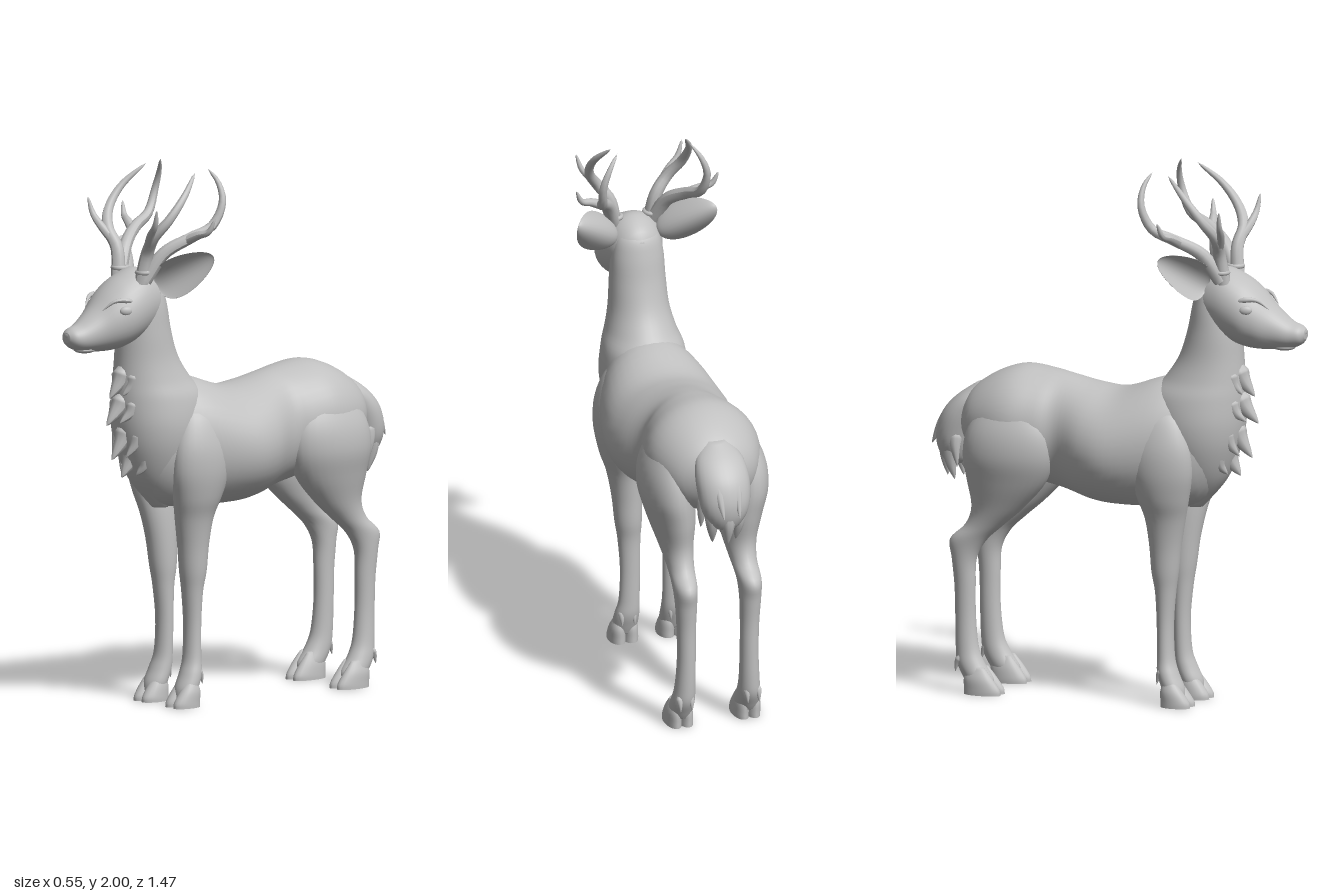
import * as THREE from 'three';

const coat = new THREE.MeshStandardMaterial({ color: 0xc0c0c0 });
coat.name = 'plain grey';

const V = (p, s = 1) => new THREE.Vector3(p[0] * s, p[1], p[2]);

// Catmull-Rom subdivision of rows of numbers
function refine(rows, steps) {
  const out = [];
  const at = (i) => rows[Math.min(Math.max(i, 0), rows.length - 1)];
  for (let i = 0; i < rows.length - 1; i++) {
    for (let k = 0; k < steps; k++) {
      const t = k / steps;
      out.push(rows[i].map((_, c) => {
        const [a, b, d, e] = [at(i - 1)[c], at(i)[c], at(i + 1)[c], at(i + 2)[c]];
        return b + 0.5 * t * (d - a + t * (2 * a - 5 * b + 4 * d - e + t * (3 * (b - d) + e - a)));
      }));
    }
  }
  out.push(rows[rows.length - 1]);
  return out;
}

// Closed skin over oval rings. A row is [position on axis, a0, a1, x0, x1], where a is z
// for axis 'y' and y for axis 'z'; a row of four gives a half width about x = 0.
function loft(axis, rows, side = 1, steps = 5, n = 28) {
  const rings = refine(rows.map((r) => (r.length === 4 ? [r[0], r[1], r[2], -r[3], r[3]] : r)), steps);
  const pos = [], idx = [];
  const put = (p, a, x) => pos.push(x * side, ...(axis === 'y' ? [p, a] : [a, p]));
  for (const [p, a0, a1, x0, x1] of rings) {
    for (let j = 0; j < n; j++) {
      const t = (j / n) * Math.PI * 2;
      put(p, (a0 + a1) / 2 + ((a1 - a0) / 2) * Math.sin(t), (x0 + x1) / 2 + ((x1 - x0) / 2) * Math.cos(t));
    }
  }
  const last = rings.length - 1;
  for (const [p, a0, a1, x0, x1] of [rings[0], rings[last]]) put(p, (a0 + a1) / 2, (x0 + x1) / 2);
  const c0 = rings.length * n;
  for (let j = 0; j < n; j++) {
    const k = (j + 1) % n;
    for (let i = 0; i < last; i++) {
      const [a, b, c, d] = [i * n + j, i * n + k, i * n + n + k, i * n + n + j];
      idx.push(a, b, c, a, c, d);
    }
    idx.push(c0, k, j, c0 + 1, last * n + j, last * n + k);
  }
  // turn the faces outward, judged by the enclosed volume
  const P = (i) => new THREE.Vector3().fromArray(pos, i * 3);
  let volume = 0;
  for (let i = 0; i < idx.length; i += 3) volume += P(idx[i]).dot(P(idx[i + 1]).cross(P(idx[i + 2])));
  if (volume < 0) idx.reverse();
  const g = new THREE.BufferGeometry();
  g.setAttribute('position', new THREE.Float32BufferAttribute(pos, 3));
  g.setIndex(idx);
  g.computeVertexNormals();
  return g;
}

// Thickness along a spike: horns are thick at the root, tufts swell and then narrow
const horn = (t) => Math.sqrt(1 - t);
const tuft = (t) => Math.min(1, 0.05 + 2.5 * t) * Math.pow(1 - t, 0.75);

function spike(points, radius, side, profile) {
  const segs = 24;
  const curve = new THREE.CatmullRomCurve3(points.map((p) => V(p, side)));
  const g = new THREE.TubeGeometry(curve, segs, radius, 10);
  const pos = g.attributes.position, v = new THREE.Vector3();
  for (let i = 0; i < pos.count; i++) {
    const t = Math.floor(i / 11) / segs, c = curve.getPointAt(t);
    v.fromBufferAttribute(pos, i).sub(c).multiplyScalar(profile(t)).add(c);
    pos.setXYZ(i, v.x, v.y, v.z);
  }
  g.computeVertexNormals();
  return g;
}

// Cupped leaf standing on its root, pointed at the tip
function earGeometry(root, tip, side) {
  const g = new THREE.SphereGeometry(1, 28, 24);
  const pos = g.attributes.position;
  const a = V(root, side), b = V(tip, side), len = a.distanceTo(b);
  for (let i = 0; i < pos.count; i++) {
    const x = pos.getX(i), y = pos.getY(i), z = pos.getZ(i), t = (y + 1) / 2;
    const thick = z > 0 ? -0.01 * z : 0.024 * z;
    pos.setXYZ(i, x * 0.074 * (1.15 - 0.4 * t), t * len, 0.05 * x * x * (1.15 - 0.5 * t) + thick - 0.01);
  }
  const up = b.clone().sub(a).normalize();
  const right = up.clone().cross(new THREE.Vector3(0.75 * side, 0, 1)).normalize();
  g.applyMatrix4(new THREE.Matrix4().makeBasis(right, up, right.clone().cross(up)).setPosition(a));
  g.computeVertexNormals();
  return g;
}

export function createModel() {
  const model = new THREE.Group();
  model.name = 'deer';
  const add = (name, geometry) => {
    const m = new THREE.Mesh(geometry, coat);
    m.name = name;
    model.add(m);
    return m;
  };
  const blob = (name, p, s, side = 1) => {
    const m = add(name, new THREE.SphereGeometry(1, 18, 12));
    m.position.copy(V(p, side));
    m.scale.set(...s);
    return m;
  };

  // Trunk, neck and head
  add('body', loft('z', [
    [0.47, 0.96, 1.1, 0.035], [0.42, 0.855, 1.17, 0.092], [0.33, 0.75, 1.2, 0.152], [0.2, 0.73, 1.217, 0.205],
    [0.03, 0.725, 1.165, 0.242], [-0.08, 0.735, 1.17, 0.228], [-0.19, 0.765, 1.195, 0.182],
    [-0.27, 0.785, 1.21, 0.2], [-0.37, 0.81, 1.22, 0.216], [-0.46, 0.83, 1.195, 0.2], [-0.55, 0.87, 1.14, 0.15],
    [-0.61, 0.95, 1.07, 0.06],
  ], 1, 5, 40));
  add('neck', loft('y', [
    [0.735, 0.27, 0.33, 0.03], [0.84, 0.2, 0.42, 0.1], [0.95, 0.16, 0.468, 0.145], [1.05, 0.13, 0.49, 0.162],
    [1.15, 0.13, 0.495, 0.152], [1.22, 0.19, 0.492, 0.129], [1.3, 0.243, 0.486, 0.112], [1.4, 0.277, 0.478, 0.105],
    [1.5, 0.298, 0.46, 0.098], [1.57, 0.32, 0.44, 0.08], [1.615, 0.365, 0.42, 0.035],
  ], 1, 5, 36));
  add('head', loft('z', [
    [0.315, 1.5, 1.56, 0.03], [0.345, 1.43, 1.605, 0.08], [0.42, 1.38, 1.64, 0.112], [0.5, 1.35, 1.61, 0.121],
    [0.56, 1.343, 1.567, 0.106], [0.62, 1.345, 1.505, 0.077], [0.68, 1.352, 1.457, 0.056],
    [0.72, 1.368, 1.44, 0.043], [0.738, 1.39, 1.425, 0.02],
  ], 1, 5, 36));
  blob('nosePad', [0, 1.415, 0.714], [0.032, 0.023, 0.026]);
  blob('lowerLip', [0, 1.356, 0.65], [0.038, 0.014, 0.045]);

  // Chest ruff: tufts lying on the chest with only the tips lifted
  [[1.3, 0.465, 1.16, 0.535], [1.2, 0.465, 1.06, 0.55], [1.09, 0.455, 0.93, 0.525], [0.99, 0.43, 0.86, 0.48]]
    .forEach(([y0, z0, y1, z1], i) => {
      add('ruffTuft', spike([[0, y0, z0 - 0.012], [0, (y0 + y1) / 2, (z0 + z1) / 2 - 0.02], [0, y1, z1]], 0.055, 1, tuft));
      for (const s of [1, -1]) {
        const x = 0.042 + 0.005 * i;
        add('ruffSideTuft', spike([[x, y0 - 0.02, z0 - 0.02], [x, (y0 + y1) / 2 - 0.02, (z0 + z1) / 2 - 0.035],
          [x * 0.75, y1 + 0.01, z1 - 0.035]], 0.042, s, tuft));
      }
    });

  // Tail with ragged ends
  add('tail', loft('y', [
    [1.14, -0.56, -0.48, 0.04], [1.09, -0.635, -0.5, 0.085], [1.03, -0.69, -0.53, 0.1], [0.96, -0.716, -0.56, 0.098],
    [0.9, -0.715, -0.58, 0.085], [0.85, -0.695, -0.6, 0.055], [0.83, -0.67, -0.62, 0.02],
  ]));
  add('tailTuft', spike([[0, 0.98, -0.65], [0, 0.87, -0.685], [0, 0.78, -0.68]], 0.05, 1, tuft));
  add('tailTuft', spike([[0, 0.96, -0.61], [0, 0.87, -0.615], [0, 0.79, -0.6]], 0.046, 1, tuft));
  for (const s of [1, -1]) {
    add('tailTuft', spike([[0.04, 0.96, -0.64], [0.05, 0.86, -0.65], [0.045, 0.775, -0.635]], 0.046, s, tuft));
    add('tailTuft', spike([[0.05, 1.0, -0.62], [0.078, 0.91, -0.62], [0.082, 0.83, -0.61]], 0.036, s, tuft));
    add('tailTuft', spike([[0.028, 1.06, -0.63], [0.034, 0.98, -0.69], [0.03, 0.9, -0.732]], 0.032, s, tuft));
  }

  for (const s of [1, -1]) {
    const label = (part) => (s > 0 ? 'left' : 'right') + part;

    // Legs, shoulder and thigh included
    add(label('FrontLeg'), loft('y', [
      [1.14, 0.2, 0.26, 0.09, 0.12], [1.08, 0.13, 0.3, 0.08, 0.178], [0.98, 0.09, 0.335, 0.07, 0.212],
      [0.88, 0.09, 0.34, 0.06, 0.215], [0.78, 0.12, 0.32, 0.05, 0.195], [0.7, 0.145, 0.3, 0.042, 0.168],
      [0.6, 0.158, 0.28, 0.038, 0.15], [0.5, 0.165, 0.267, 0.038, 0.14], [0.42, 0.178, 0.255, 0.043, 0.128],
      [0.3, 0.183, 0.245, 0.045, 0.12], [0.18, 0.185, 0.25, 0.045, 0.124], [0.12, 0.188, 0.268, 0.043, 0.136],
      [0.07, 0.205, 0.29, 0.043, 0.14], [0.035, 0.22, 0.295, 0.05, 0.135],
    ], s));
    add(label('HindLeg'), loft('y', [
      [1.16, -0.41, -0.33, 0.08, 0.12], [1.1, -0.48, -0.26, 0.07, 0.18], [1.0, -0.54, -0.21, 0.06, 0.229],
      [0.9, -0.56, -0.205, 0.05, 0.239], [0.8, -0.55, -0.245, 0.045, 0.215], [0.7, -0.535, -0.335, 0.06, 0.185],
      [0.63, -0.56, -0.415, 0.072, 0.17], [0.57, -0.62, -0.48, 0.08, 0.168], [0.5, -0.613, -0.518, 0.084, 0.164],
      [0.4, -0.603, -0.523, 0.087, 0.158], [0.28, -0.6, -0.522, 0.087, 0.156], [0.17, -0.597, -0.51, 0.086, 0.162],
      [0.11, -0.59, -0.485, 0.084, 0.17], [0.06, -0.565, -0.45, 0.083, 0.174], [0.035, -0.55, -0.45, 0.09, 0.168],
    ], s));

    // Cloven hooves and dewclaws: [name, heel z, toe z, inner x, outer x, dewclaw z]
    for (const [name, z0, z1, x0, x1, zd] of [
      ['Front', 0.21, 0.325, 0.038, 0.15, 0.208], ['Hind', -0.555, -0.412, 0.078, 0.182, -0.576]]) {
      const mid = (x0 + x1) / 2;
      for (const [a, b] of [[x0, mid + 0.008], [mid - 0.008, x1]]) {
        add(label(name + 'Hoof'), loft('y', [
          [0.1, z0 + 0.015, z1 - 0.065, a + 0.018, b - 0.018], [0.06, z0, z1 - 0.032, a + 0.005, b - 0.003],
          [0.02, z0, z1 - 0.004, a, b], [0, z0, z1, a, b], [0, z0, z1, a, b],
        ], s, 4, 20));
        const x = (a + b) / 2;
        add(label(name + 'Dewclaw'), spike([[x, 0.15, zd + 0.015], [x, 0.115, zd - 0.006], [x, 0.08, zd - 0.014]], 0.018, s, tuft));
      }
    }

    // Face and ears
    const eye = blob(label('Eye'), [0.104, 1.5, 0.54], [0.012, 0.017, 0.024], s);
    eye.rotation.y = s * -0.35;
    add(label('Brow'), spike([[0.095, 1.515, 0.48], [0.099, 1.535, 0.52], [0.078, 1.535, 0.57], [0.05, 1.5, 0.61]], 0.015, s, tuft));
    blob(label('Nostril'), [0.024, 1.414, 0.712], [0.014, 0.013, 0.018], s);
    add(label('Ear'), earGeometry([0.085, 1.565, 0.385], [0.272, 1.695, 0.268], s));

    // Antlers
    const burr = add(label('AntlerBurr'), new THREE.TorusGeometry(0.026, 0.009, 8, 20));
    burr.position.set(0.072 * s, 1.63, 0.43);
    burr.rotation.x = Math.PI / 2;
    const tines = {
      FrontBeam: [0.027, [[0.068, 1.59, 0.44], [0.09, 1.7, 0.43], [0.135, 1.765, 0.435], [0.178, 1.83, 0.4], [0.185, 1.91, 0.335], [0.145, 1.99, 0.25]]],
      FrontTine: [0.019, [[0.1, 1.72, 0.432], [0.15, 1.78, 0.46], [0.185, 1.82, 0.468], [0.205, 1.88, 0.475]]],
      RearBeam: [0.028, [[0.075, 1.6, 0.43], [0.115, 1.7, 0.37], [0.165, 1.755, 0.285], [0.19, 1.795, 0.205], [0.2, 1.88, 0.165], [0.175, 1.95, 0.165], [0.14, 2, 0.187]]],
      RearTine: [0.019, [[0.16, 1.745, 0.3], [0.21, 1.77, 0.285], [0.25, 1.785, 0.27], [0.275, 1.835, 0.258]]],
    };
    for (const [name, [radius, path]] of Object.entries(tines)) {
      add(label('Antler' + name), spike(path, radius, s, horn));
    }
  }
  return model;
}
